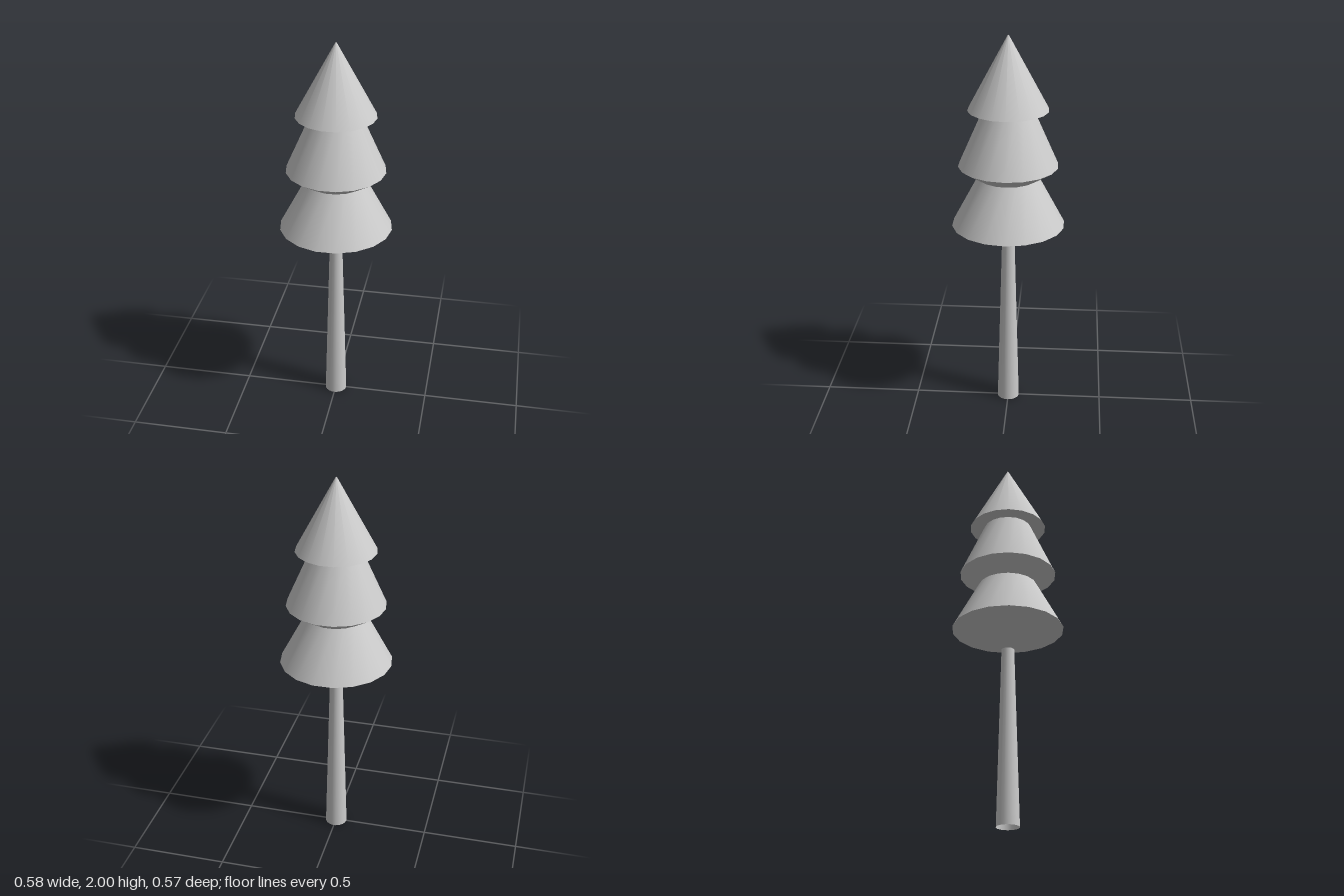
import * as THREE from 'three';

const SIDES = 18;

export function createModel() {
  const tree = new THREE.Group();
  tree.name = 'tree';
  const material = new THREE.MeshStandardMaterial({ color: 0xcccccc, side: THREE.DoubleSide });

  // Open ring between two heights, smooth around and creased at its rims
  function band(name, yBottom, rBottom, yTop, rTop, parent) {
    const geometry = new THREE.CylinderGeometry(
      rTop, rBottom, yTop - yBottom, SIDES, 1, true, Math.PI / 2);
    const mesh = new THREE.Mesh(geometry, material);
    mesh.name = name;
    mesh.position.y = (yBottom + yTop) / 2;
    parent.add(mesh);
  }

  // Tapered trunk, open at the foot
  band('trunk', 0, 0.058, 0.92, 0.033, tree);

  // Foliage tiers: a sloped underside up to the rim, then a cone above it
  const tiers = [
    { name: 'lowerTier', base: [0.917, 0.033], rim: [1.028, 0.288], top: [1.282, 0.153] },
    { name: 'middleTier', base: [1.282, 0.153], rim: [1.345, 0.252], top: [1.632, 0.125] },
    { name: 'topTier', base: [1.632, 0.125], rim: [1.632, 0.202], top: [2, 0.003] },
  ];
  for (const { name, base, rim, top } of tiers) {
    const tier = new THREE.Group();
    tier.name = name;
    band(name + 'Underside', ...base, ...rim, tier);
    band(name + 'Cone', ...rim, ...top, tier);
    tree.add(tier);
  }

  // Flat underside of the top tier needs normals facing down
  const flat = tree.getObjectByName('topTierUnderside');
  flat.geometry.dispose();
  flat.geometry = new THREE.RingGeometry(0.125, 0.202, SIDES).rotateX(Math.PI / 2);

  return tree;
}
